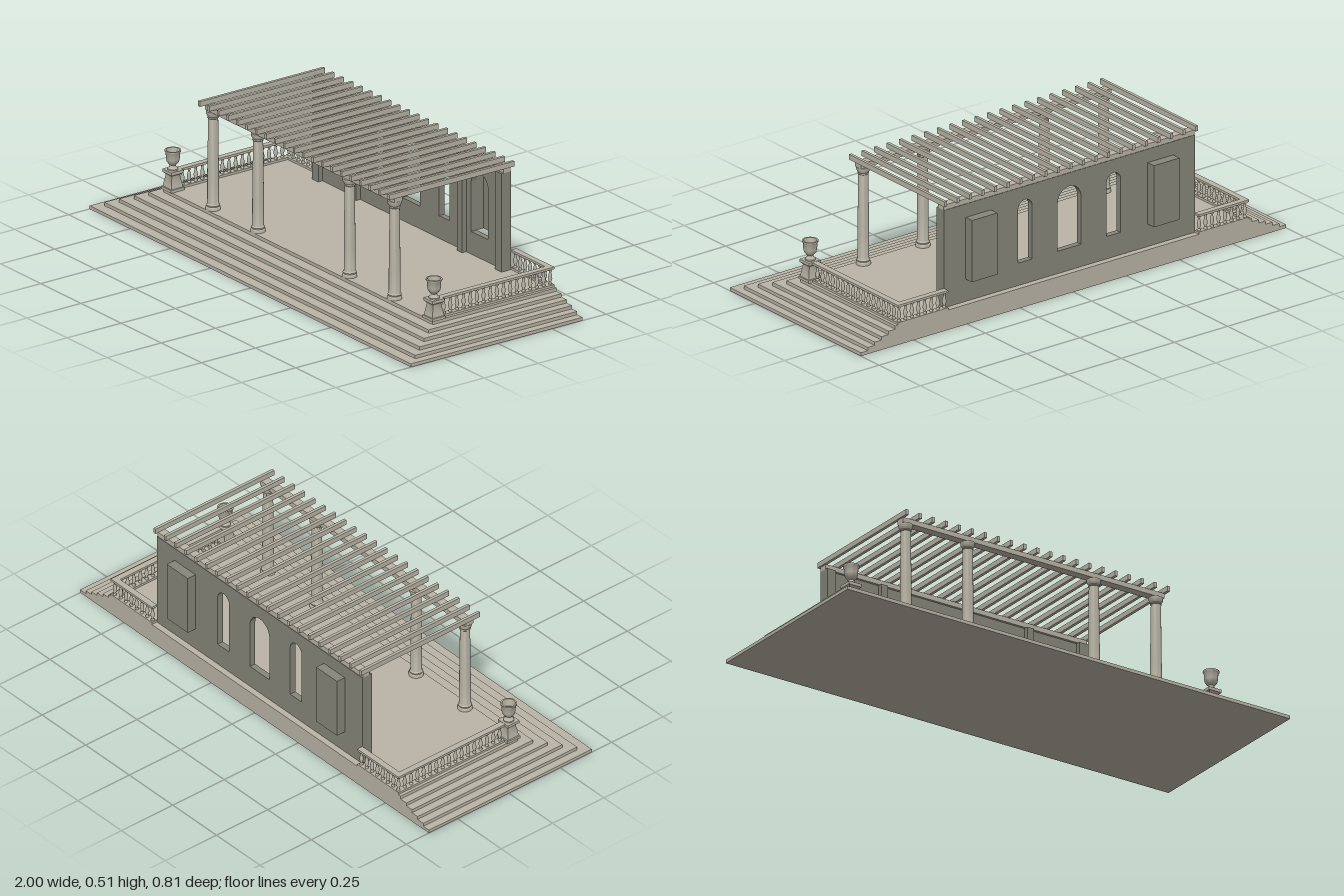
import * as THREE from 'three';
import { toCreasedNormals } from 'three/addons/utils/BufferGeometryUtils.js';

export function createModel() {
  const model = new THREE.Group();
  model.name = 'gardenPavilion';
  const stone = new THREE.MeshStandardMaterial({ color: 0xbab5a7 });
  stone.name = 'pale stone';
  const plaster = new THREE.MeshStandardMaterial({ color: 0x86867a });
  plaster.name = 'grey plaster';

  const add = (name, geometry, material, x = 0, y = 0, z = 0) => {
    const mesh = new THREE.Mesh(geometry, material);
    mesh.name = name;
    mesh.position.set(x, y, z);
    model.add(mesh);
    return mesh;
  };
  // Box given by its limits
  const block = (name, material, x0, x1, y0, y1, z0, z1) =>
    add(name, new THREE.BoxGeometry(x1 - x0, y1 - y0, z1 - z0), material,
      (x0 + x1) / 2, (y0 + y1) / 2, (z0 + z1) / 2);
  const turned = (profile, sides) => toCreasedNormals(
    new THREE.LatheGeometry(profile.map(([r, y]) => new THREE.Vector2(r, y)), sides), 0.7);

  // Stepped platform, flush at the back
  const rise = 0.08 / 6;
  for (let i = 0; i < 6; i++) {
    const w = 1 - i * 0.0323;
    block('step', stone, -w, w, i * rise, (i + 1) * rise, -0.39, 0.403 - i * 0.0442);
  }

  // Back wall with arched openings
  const wall = new THREE.Shape();
  wall.moveTo(-0.59, 0.08);
  wall.lineTo(0.59, 0.08);
  wall.lineTo(0.59, 0.472);
  wall.lineTo(-0.59, 0.472);
  wall.closePath();
  const arches = [[-0.428, 0.053], [-0.208, 0.033], [0, 0.055], [0.208, 0.033], [0.428, 0.053]];
  for (const [x, r] of arches) {
    const hole = new THREE.Path();
    hole.moveTo(x - r, 0.17);
    hole.lineTo(x - r, 0.418 - r);
    hole.absarc(x, 0.418 - r, r, Math.PI, 0, true);
    hole.lineTo(x + r, 0.17);
    hole.closePath();
    wall.holes.push(hole);
  }
  add('backWall', new THREE.ExtrudeGeometry(wall, { depth: 0.025, bevelEnabled: false, curveSegments: 16 }),
    plaster, 0, 0, -0.365);

  for (const s of [-1, 1]) {
    // Wall pilasters
    for (const [x, w] of [[0.57, 0.02], [0.33, 0.015]])
      block('pilaster', plaster, s * x - w, s * x + w, 0.08, 0.472, -0.345, -0.32);
    // Niche casing behind the wall, open underneath
    const n = s * 0.428;
    block('nicheBack', plaster, n - 0.06, n + 0.06, 0.17, 0.418, -0.403, -0.396);
    block('nicheTop', plaster, n - 0.06, n + 0.06, 0.411, 0.418, -0.396, -0.365);
    for (const e of [-1, 1]) {
      const c = n + e * 0.0565;
      block('nicheSide', plaster, c - 0.0035, c + 0.0035, 0.17, 0.411, -0.396, -0.365);
    }
  }

  // Columns
  const column = turned([[0, 0.08], [0.028, 0.08], [0.028, 0.09], [0.025, 0.094], [0.026, 0.099], [0.022, 0.104],
    [0.022, 0.2], [0.019, 0.443], [0.022, 0.446], [0.02, 0.45], [0.026, 0.46], [0.027, 0.464], [0.027, 0.472],
    [0, 0.472]], 24);
  for (const x of [-0.565, -0.285, 0.285, 0.565]) add('column', column, stone, x, 0, 0.155);

  // Pergola beams and rafters
  block('frontBeam', stone, -0.59, 0.59, 0.472, 0.492, 0.138, 0.174);
  block('rearBeam', stone, -0.59, 0.59, 0.472, 0.492, -0.363, -0.33);
  for (let i = 0; i <= 20; i++) {
    const x = -0.59 + i * 0.059;
    block('rafter', stone, x - 0.006, x + 0.006, 0.491, 0.512, -0.376, 0.202);
  }

  // Balustrades
  const baluster = turned([[0.007, 0.088], [0.007, 0.093], [0.004, 0.098], [0.008, 0.112], [0.0075, 0.12],
    [0.004, 0.136], [0.0045, 0.14], [0.007, 0.146], [0.007, 0.152]], 12);
  // Pedestal: four-sided profile turned to face the axes
  const d = Math.SQRT2;
  const pedestal = turned([[0, 0.08], [0.031, 0.08], [0.031, 0.091], [0.027, 0.092], [0.019, 0.138], [0.021, 0.142],
    [0.028, 0.148], [0.028, 0.16], [0, 0.16]].map(([r, y]) => [r * d, y]), 4);
  pedestal.rotateY(Math.PI / 4);
  const urn = turned([[0, 0.16], [0.02, 0.16], [0.02, 0.165], [0.013, 0.171], [0.011, 0.178], [0.016, 0.183],
    [0.023, 0.192], [0.026, 0.204], [0.027, 0.228], [0.031, 0.233], [0.031, 0.238], [0.025, 0.238],
    [0.022, 0.208], [0, 0.196]], 24);

  for (const s of [-1, 1]) {
    const x = s * 0.813;
    for (const [y0, y1, w] of [[0.08, 0.089, 0.0125], [0.15, 0.159, 0.0125]]) {
      block('sideRail', stone, x - w, x + w, y0, y1, -0.39, 0.135);
      block('rearRail', stone, s * 0.695 - 0.106, s * 0.695 + 0.106, y0, y1, -0.39, -0.365);
    }
    for (let i = 0; i < 17; i++) add('sideBaluster', baluster, stone, x, 0, 0.113 - i * 0.0308);
    for (let i = 0; i < 7; i++) add('rearBaluster', baluster, stone, s * (0.782 - i * 0.0305), 0, -0.378);
    add('pedestal', pedestal, stone, x, 0, 0.157);
    add('urn', urn, stone, x, 0, 0.157);
  }
  return model;
}
